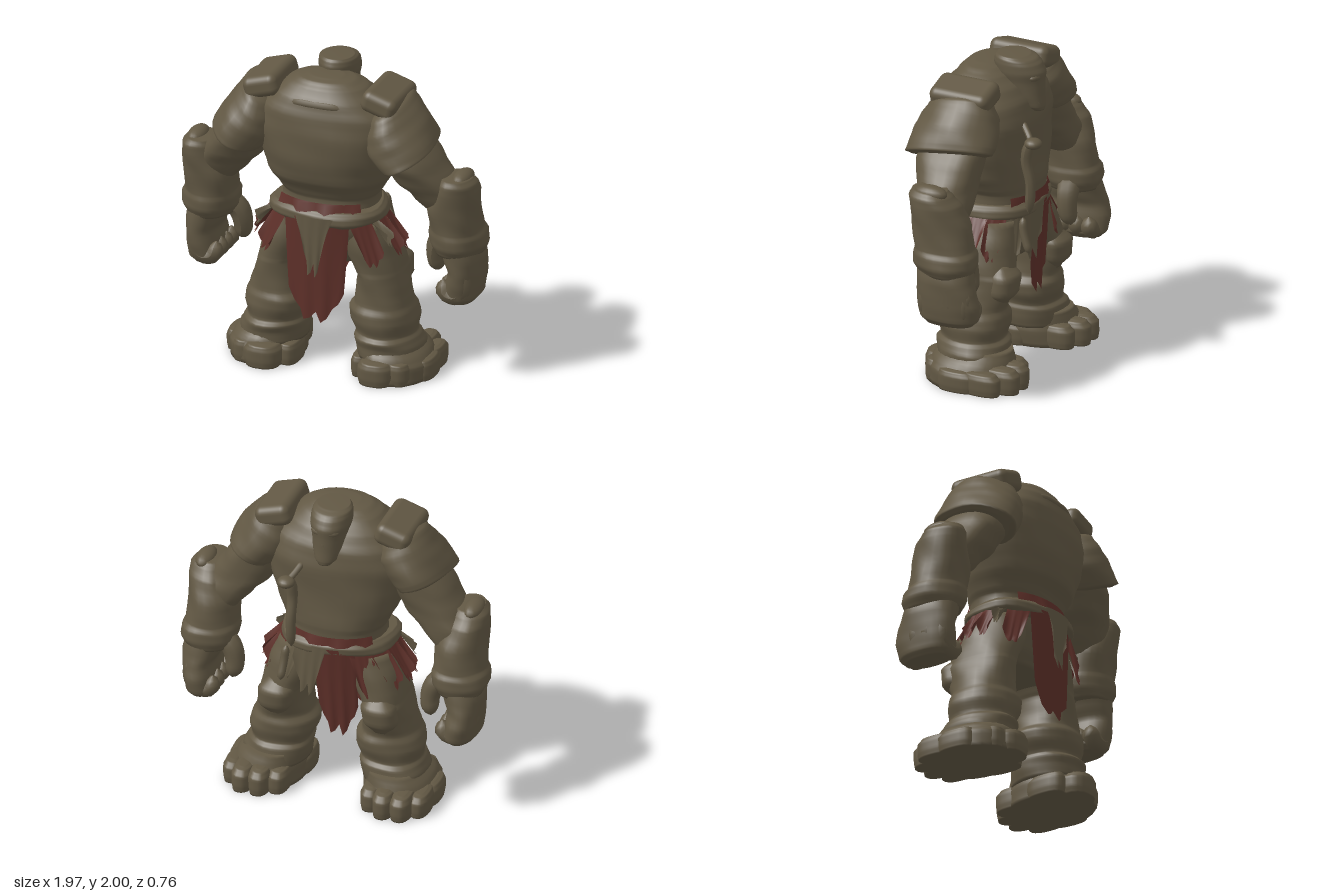
import * as THREE from 'three';
import { RoundedBoxGeometry } from 'three/addons/geometries/RoundedBoxGeometry.js';

const hide = new THREE.MeshStandardMaterial({ color: 0x625844, side: THREE.DoubleSide });
hide.name = 'stoneBrown';
const red = new THREE.MeshStandardMaterial({ color: 0x5e3029, side: THREE.DoubleSide });
red.name = 'clothRed';

// Closed body from horizontal oval rings [y, cx, cz, rx, rz], bottom to top
function loft(rings, { power = 0.85, lump = 0.02, sides = 28, sub = 4 } = {}) {
  const pos = [], idx = [], fine = [];
  for (let i = 0; i < rings.length - 1; i++)
    for (let s = 0; s < sub; s++) {
      const t = s / sub, h = t * t * (3 - 2 * t);
      fine.push([0, 1, 2, 3, 4].map(k => THREE.MathUtils.lerp(rings[i][k], rings[i + 1][k], k ? 0.5 * (t + h) : t)));
    }
  fine.push(rings[rings.length - 1]);
  const bend = v => Math.sign(v) * Math.abs(v) ** power;
  for (const [y, cx, cz, rx, rz] of fine)
    for (let j = 0; j < sides; j++) {
      const a = j / sides * Math.PI * 2;
      const w = 1 + lump * Math.sin(3 * a + 11 * y) + lump * 0.6 * Math.sin(5 * a - 23 * y + cx * 4);
      pos.push(cx + bend(Math.cos(a)) * rx * w, y, cz + bend(Math.sin(a)) * rz * w);
    }
  const last = (fine.length - 1) * sides, c0 = fine.length * sides, c1 = c0 + 1;
  const b = fine[0], t = fine[fine.length - 1];
  pos.push(b[1], b[0], b[2], t[1], t[0], t[2]);
  for (let j = 0; j < sides; j++) {
    const k = (j + 1) % sides;
    for (let i = 0; i < fine.length - 1; i++) {
      const p = i * sides, q = p + sides;
      idx.push(p + j, q + j, q + k, p + j, q + k, p + k);
    }
    idx.push(c0, j, k, c1, last + k, last + j);
  }
  return finish(pos, idx);
}

function finish(pos, idx) {
  const g = new THREE.BufferGeometry();
  g.setAttribute('position', new THREE.Float32BufferAttribute(pos, 3));
  g.setIndex(idx);
  g.computeVertexNormals();
  return g;
}

// Round-ended tube through points, tapering from r0 to r1
function finger(points, r0, r1) {
  const curve = new THREE.CatmullRomCurve3(points.map(p => new THREE.Vector3(...p)));
  const seg = 16, n = 10, g = new THREE.TubeGeometry(curve, seg, 1, n);
  const p = g.attributes.position, v = new THREE.Vector3();
  for (let i = 0; i <= seg; i++) {
    const t = i / seg, c = curve.getPointAt(t);
    const r = (r0 + (r1 - r0) * t) * Math.sqrt(Math.min(1, 7.2 * t * (1 - t) + 0.001));
    for (let j = 0; j <= n; j++) {
      const k = i * (n + 1) + j;
      v.fromBufferAttribute(p, k).sub(c).multiplyScalar(r).add(c);
      p.setXYZ(k, v.x, v.y, v.z);
    }
  }
  g.computeVertexNormals();
  return g;
}

// Hanging cloth between two angles around the waist, with a ragged hem
function cloth(a0, a1, top, bottom, jag, { rx = 0.35, rz = 0.28, flareX = 0.09, flareZ = 0, taper = 0.25 } = {}) {
  const cols = 10, rows = 6, pos = [], idx = [];
  for (let i = 0; i <= rows; i++)
    for (let j = 0; j <= cols; j++) {
      const t = i / rows, u = j / cols;
      const a = (a0 + a1) / 2 + (u - 0.5) * (a1 - a0) * (1 - taper * t);
      const hem = bottom + jag * ([1.5, 1.0, 0.7, 0.2, 0, 0.45, 0.15, 0.05, 0.5, 0.9, 1.5][j]);
      const w = 0.012 * Math.sin(j * 2.1) * t;
      pos.push(Math.cos(a) * (rx + flareX * t + w), top + (hem - top) * t, 0.02 + Math.sin(a) * (rz + flareZ * t + w));
      if (i < rows && j < cols) {
        const p = i * (cols + 1) + j, q = p + cols + 1;
        idx.push(p, p + 1, q + 1, p, q + 1, q);
      }
    }
  return finish(pos, idx);
}

export function createModel() {
  const model = new THREE.Group();
  model.name = 'hulkingBrute';
  const add = (name, geo, mat = hide) => {
    const m = new THREE.Mesh(geo, mat);
    m.name = name;
    model.add(m);
    return m;
  };
  const ball = (name, x, y, z, rx, ry, rz) => {
    const m = add(name, new THREE.SphereGeometry(1, 18, 12));
    m.position.set(x, y, z);
    m.scale.set(rx, ry, rz);
  };

  // Torso, hips and belt
  add('torso', loft([
    [1.03, 0, 0.0, 0.31, 0.24], [1.15, 0, -0.01, 0.3, 0.235], [1.2, 0, 0.0, 0.33, 0.25],
    [1.3, 0, 0.035, 0.385, 0.28], [1.45, 0, 0.05, 0.43, 0.295], [1.6, 0, 0.05, 0.46, 0.3],
    [1.72, 0, 0.055, 0.43, 0.28], [1.81, 0, 0.065, 0.34, 0.24], [1.88, 0, 0.075, 0.26, 0.18],
    [1.92, 0, 0.085, 0.19, 0.13], [1.94, 0, 0.09, 0.1, 0.07]], { lump: 0.012, power: 0.87 }));
  add('hips', loft([[0.72, 0, -0.01, 0.2, 0.16], [0.82, 0, -0.01, 0.34, 0.21],
    [0.95, 0, 0.0, 0.36, 0.24], [1.06, 0, 0.01, 0.33, 0.25]]));
  add('belt', loft([[1.0, 0, 0.02, 0.33, 0.26], [1.03, 0, 0.02, 0.365, 0.29],
    [1.07, 0, 0.02, 0.36, 0.29], [1.1, 0, 0.02, 0.33, 0.26]], { lump: 0.03 }));
  add('rearSash', cloth(0.74, Math.PI - 0.74, 1.15, 1.08, 0, { rx: 0.35, rz: 0.25, flareX: 0.01, flareZ: 0.02, taper: 0 }), red);
  add('frontSash', cloth(-2.5, -0.8, 1.14, 1.08, 0, { rx: 0.335, rz: 0.28, flareX: 0.01, flareZ: 0.01, taper: 0 }), red);
  add('collarLip', finger([[-0.2, 1.79, 0.25], [-0.1, 1.805, 0.28], [0, 1.805, 0.285], [0.1, 1.805, 0.28], [0.2, 1.79, 0.25]], 0.025, 0.025));

  // Ragged skirt
  const H = Math.PI / 2;
  add('rearFlap', cloth(H - 0.64, H + 0.64, 1.05, 0.37, 0.13, { rz: 0.285, flareX: 0.03, flareZ: -0.02, taper: 0.25 }), red);
  add('rearApron', cloth(H - 0.36, H + 0.36, 1.07, 0.68, 0.18, { rz: 0.305, flareX: 0, taper: 0.4 }));
  add('frontFlap', cloth(-H - 0.55, -H + 0.2, 1.06, 0.44, 0.14, { rz: 0.29, flareZ: -0.06 }), red);
  add('frontApron', cloth(-H - 0.05, -H + 0.55, 1.07, 0.72, 0.16, { rz: 0.3 }));
  // Side strips: [start, end, hem height, is red on the left, is red on the right]
  const strips = [[0.02, 0.36, 0.8, 1, 1], [0.34, 0.54, 0.88, 0, 0], [0.5, 0.96, 0.76, 1, 1],
    [-0.36, 0.04, 0.8, 1, 1], [-0.76, -0.32, 0.78, 1, 1], [-1.14, -0.7, 0.74, 0, 1]];
  for (const s of [1, -1])
    for (const [a, b, low, redLeft, redRight] of strips) {
      const [p, q] = s > 0 ? [a, b] : [Math.PI - b, Math.PI - a];
      add('skirtStrip', cloth(p, q, 1.04, low, 0.06, { flareX: 0.13, flareZ: 0.02, taper: 0.25 }),
        (s > 0 ? redLeft : redRight) ? red : hide);
    }

  // Head, sunk forward between the shoulders
  add('head', loft([
    [1.66, 0, -0.25, 0.04, 0.035], [1.69, 0, -0.23, 0.07, 0.06], [1.76, 0, -0.18, 0.095, 0.105],
    [1.84, 0, -0.14, 0.11, 0.145], [1.9, 0, -0.125, 0.125, 0.165], [1.95, 0, -0.11, 0.125, 0.155],
    [1.98, 0, -0.1, 0.12, 0.135], [2.0, 0, -0.08, 0.1, 0.1]], { power: 1, lump: 0.012 }));
  ball('brow', 0, 1.88, -0.24, 0.09, 0.035, 0.045);
  ball('nose', 0, 1.8, -0.265, 0.025, 0.05, 0.022);
  ball('jaw', 0, 1.71, -0.25, 0.06, 0.04, 0.038);

  // Bone charm hanging on the chest, and a loose bone at the hip
  add('charmCord', finger([[0.15, 1.62, -0.22], [0.18, 1.57, -0.27], [0.21, 1.53, -0.31]], 0.02, 0.02));
  ball('charmKnob', 0.22, 1.525, -0.33, 0.055, 0.035, 0.055);
  add('charmBone', finger([[0.2, 1.55, -0.3], [0.2, 1.4, -0.27], [0.2, 1.25, -0.3], [0.2, 1.05, -0.29]], 0.035, 0.03));
  add('hipBone', finger([[0.24, 1.04, -0.27], [0.25, 0.95, -0.28], [0.26, 0.82, -0.325]], 0.025, 0.025));

  for (const s of [1, -1]) {
    const side = s > 0 ? 'left' : 'right';
    const sided = rings => rings.map(([y, x, ...r]) => [y, x * s, ...r]);
    const path = pts => pts.map(([x, y, z]) => [x * s, y, z]);

    // Thick ridged leg
    add(side + 'Leg', loft(sided([
      [0.13, 0.38, -0.01, 0.2, 0.23], [0.2, 0.375, -0.01, 0.21, 0.225], [0.25, 0.36, 0.0, 0.2, 0.23],
      [0.28, 0.355, 0.0, 0.185, 0.2], [0.36, 0.345, 0.0, 0.21, 0.22], [0.42, 0.335, 0, 0.205, 0.22],
      [0.47, 0.34, 0, 0.175, 0.2], [0.56, 0.335, -0.015, 0.155, 0.215], [0.66, 0.325, -0.03, 0.14, 0.235],
      [0.7, 0.31, -0.02, 0.145, 0.22], [0.85, 0.25, -0.01, 0.17, 0.22], [1.0, 0.2, 0, 0.16, 0.2]]), { lump: 0.025, power: 0.92 }));
    add(side + 'Kneecap', loft(sided([[0.5, 0.34, -0.17, 0.06, 0.04], [0.58, 0.34, -0.19, 0.11, 0.085],
      [0.68, 0.33, -0.2, 0.11, 0.085], [0.75, 0.32, -0.17, 0.06, 0.05]])));

    // Broad foot, toes splayed outward, with blunt heel pads [x, z, rx, rz, height]
    add(side + 'Foot', loft(sided([
      [0, 0.42, -0.02, 0.225, 0.28], [0.1, 0.42, -0.02, 0.23, 0.28],
      [0.15, 0.41, -0.02, 0.21, 0.26], [0.22, 0.385, -0.04, 0.165, 0.22]]), { power: 0.95 }));
    const pad = (name, [x, z, rx, rz, h]) => add(side + name, loft(sided([
      [0, x, z, rx * 0.9, rz * 0.94], [h * 0.3, x, z, rx, rz], [h * 0.7, x, z, rx, rz],
      [h * 0.92, x, z + 0.01, rx * 0.8, rz * 0.84], [h, x, z + 0.01, rx * 0.4, rz * 0.5]]), { power: 0.8, lump: 0.01, sides: 18 }));
    [[0.3, -0.21, 0.066, 0.12, 0.15], [0.4, -0.27, 0.068, 0.12, 0.16], [0.51, -0.265, 0.068, 0.12, 0.155], [0.6, -0.18, 0.062, 0.12, 0.14]]
      .forEach(t => pad('Toe', t));
    [[0.235, 0.07, 0.062, 0.13, 0.14], [0.37, 0.18, 0.12, 0.13, 0.15], [0.5, 0.13, 0.08, 0.12, 0.145], [0.61, -0.02, 0.065, 0.13, 0.135]]
      .forEach(t => pad('HeelPad', t));

    // Upper arm
    add(side + 'UpperArm', loft(sided([
      [1.1, 0.75, -0.02, 0.1, 0.11], [1.24, 0.7, 0.01, 0.17, 0.155], [1.34, 0.62, 0.04, 0.19, 0.18],
      [1.46, 0.55, 0.06, 0.18, 0.21], [1.62, 0.46, 0.05, 0.15, 0.21], [1.74, 0.4, 0.05, 0.1, 0.13]])));

    // Forearm bracer, hand, fingers and thumb
    add(side + 'Bracer', loft(sided([
      [0.85, 0.81, -0.055, 0.145, 0.175], [0.91, 0.81, -0.05, 0.175, 0.2], [0.97, 0.805, -0.045, 0.175, 0.2],
      [1.01, 0.8, -0.035, 0.16, 0.185], [1.15, 0.795, -0.01, 0.16, 0.185], [1.28, 0.825, 0.02, 0.135, 0.165],
      [1.34, 0.835, 0.045, 0.12, 0.14], [1.38, 0.83, 0.055, 0.09, 0.11]]), { power: 0.95, lump: 0.03 }));
    ball(side + 'ElbowKnob', 0.865 * s, 1.365, 0.03, 0.06, 0.05, 0.11);
    ball(side + 'ElbowKnob', 0.76 * s, 1.33, 0.06, 0.06, 0.055, 0.1);
    add(side + 'Hand', loft(sided([
      [0.53, 0.83, -0.08, 0.08, 0.15], [0.57, 0.83, -0.08, 0.11, 0.19], [0.66, 0.845, -0.08, 0.105, 0.205],
      [0.74, 0.855, -0.07, 0.1, 0.195], [0.82, 0.84, -0.06, 0.12, 0.185], [0.92, 0.81, -0.05, 0.13, 0.175]]), { power: 0.9 }));
    [[-0.2, 0.02], [-0.115, 0], [-0.03, 0], [0.05, 0.02]].forEach(([z, d]) => add(side + 'Finger',
      finger(path([[0.87 - d, 0.8, z], [0.89 - d, 0.66, z], [0.835, 0.585, z], [0.76, 0.595, z], [0.74, 0.68, z]]), 0.062, 0.056)));
    add(side + 'Thumb', finger(path([[0.76, 0.92, -0.08], [0.66, 0.86, -0.1], [0.63, 0.77, -0.11], [0.64, 0.65, -0.13]]), 0.08, 0.05));

    // Shoulder armour: dome tilted outward and drooping at the back, with a flat plate on top
    const shoulder = add(side + 'Pauldron', loft(sided([
      [0, 0, 0.03, 0.14, 0.24], [0.015, 0, 0.03, 0.175, 0.29], [0.06, -0.01, 0.02, 0.185, 0.29], [0.15, -0.03, 0.005, 0.195, 0.28],
      [0.24, -0.035, -0.015, 0.18, 0.255], [0.32, -0.015, -0.03, 0.14, 0.21], [0.37, 0, -0.04, 0.08, 0.12]]), { power: 1, lump: 0.025 }));
    shoulder.position.set(0.555 * s, 1.495, 0.05);
    shoulder.rotation.set(0.14, 0, 0.44 * s);
    const plate = add(side + 'ShoulderPlate', new RoundedBoxGeometry(0.23, 0.14, 0.4, 4, 0.05));
    plate.position.set(0.385 * s, 1.835, 0.05);
    plate.rotation.z = -0.3 * s;
  }
  return model;
}
